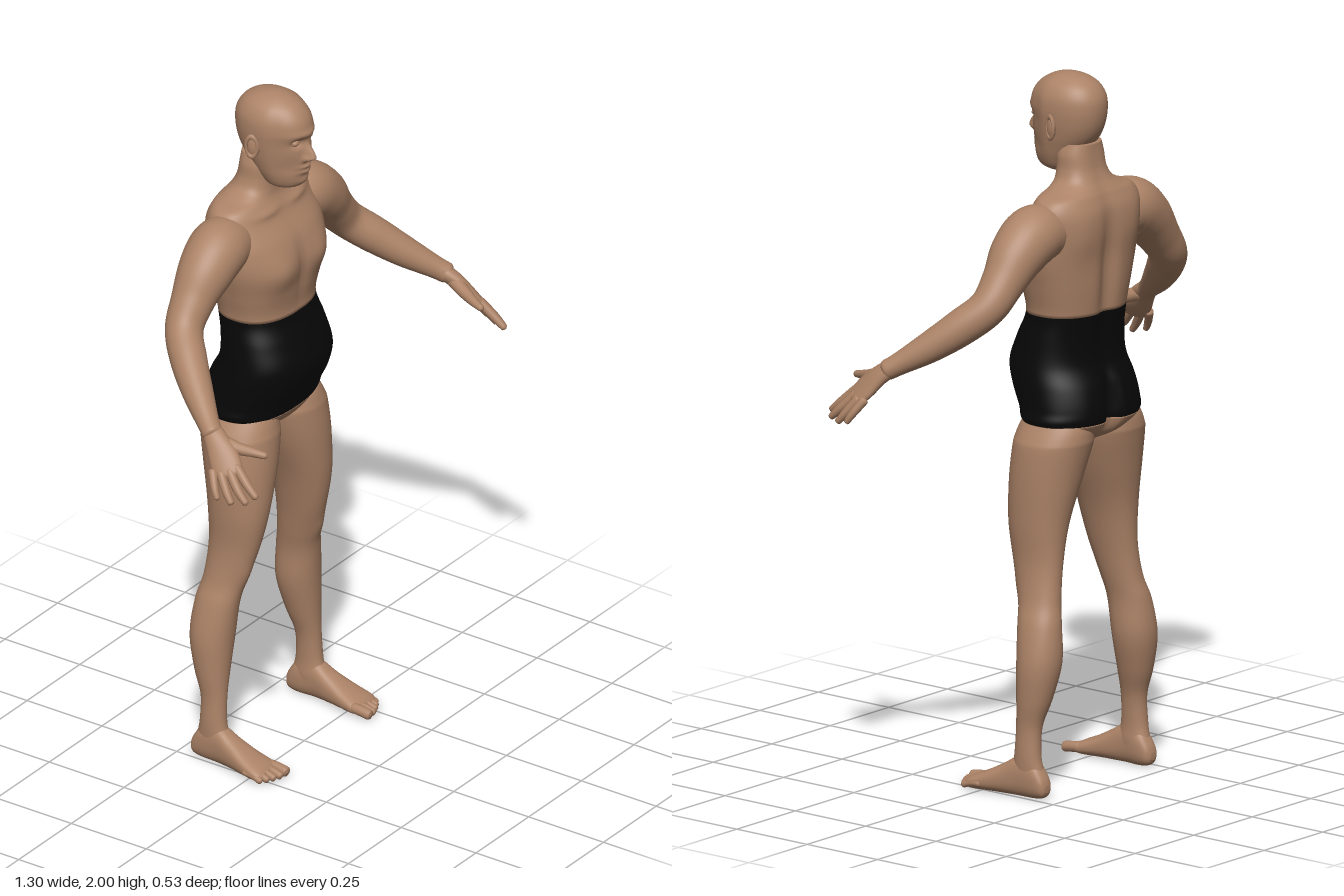
import * as THREE from 'three';

const V = (x, y, z) => new THREE.Vector3(x, y, z);
const bump = (d, s) => Math.exp(-((d / s) ** 2));

// Smoothly resample a list of numeric rows, k steps per span
function smooth(rows, k) {
  const out = [], n = rows.length;
  for (let i = 0; i < n - 1; i++) {
    const a = rows[Math.max(i - 1, 0)], b = rows[i], c = rows[i + 1], d = rows[Math.min(i + 2, n - 1)];
    for (let s = 0; s < k; s++) {
      const t = s / k;
      out.push(b.map((_, j) => 0.5 * (2 * b[j] + (c[j] - a[j]) * t
        + (2 * a[j] - 5 * b[j] + 4 * c[j] - d[j]) * t * t
        + (3 * b[j] - a[j] - 3 * c[j] + d[j]) * t * t * t)));
    }
  }
  out.push(rows[n - 1].slice());
  return out;
}

// Skin closed rings of points into one smooth surface, with optional end caps
function skinRings(rings, cap = true) {
  const n = rings[0].length, m = rings.length, pts = rings.flat(), idx = [];
  for (let i = 0; i < m - 1; i++) {
    for (let j = 0; j < n; j++) {
      const a = i * n + j, b = i * n + (j + 1) % n;
      idx.push(a, a + n, b, b, a + n, b + n);
    }
  }
  if (cap) {
    [0, m - 1].forEach((r) => {
      const c = pts.length;
      pts.push(rings[r].reduce((s, p) => s.add(p), V(0, 0, 0)).divideScalar(n));
      for (let j = 0; j < n; j++) {
        const a = r * n + j, b = r * n + (j + 1) % n;
        r === 0 ? idx.push(c, a, b) : idx.push(c, b, a);
      }
    });
  }
  const g = new THREE.BufferGeometry().setFromPoints(pts);
  g.setIndex(idx);
  g.computeVertexNormals();
  return g;
}

// Rings from rows [height, x0, x1, d0, d1]; place maps (x, height, depth) to a point
function sectionRings(rows, n, power, place, deform) {
  const se = (v) => Math.sign(v) * Math.abs(v) ** (2 / power);
  return rows.map(([h, x0, x1, d0, d1]) => Array.from({ length: n }, (_, j) => {
    const t = j / n * Math.PI * 2;
    const p = place((x0 + x1) / 2 + (x1 - x0) / 2 * se(Math.cos(t)), h,
      (d0 + d1) / 2 + (d1 - d0) / 2 * se(Math.sin(t)));
    if (deform) deform(p);
    return p;
  }));
}
const upright = (x, h, d) => V(x, h, d);

// Limb along rows [x, y, z, width radius, thickness radius] with rounded ends
function limb(path, side, n = 24, k = 8, round = 0.08) {
  const rows = smooth(path.map((r) => (r.length === 4 ? [...r, r[3]] : r)), k), m = rows.length - 1;
  const P = rows.map((r) => V(r[0], r[1], r[2]));
  return skinRings(rows.map((r, i) => {
    const t = P[Math.min(i + 1, m)].clone().sub(P[Math.max(i - 1, 0)]).normalize();
    const s = side.clone().addScaledVector(t, -side.dot(t)).normalize();
    const q = s.clone().cross(t);
    const e = Math.max(0, 1 - Math.min(i, m - i) / m / round);
    const f = Math.sqrt(Math.max(0.02, 1 - e * e));
    return Array.from({ length: n }, (_, j) => {
      const a = j / n * Math.PI * 2;
      return P[i].clone().addScaledVector(s, Math.cos(a) * r[3] * f).addScaledVector(q, Math.sin(a) * r[4] * f);
    });
  }));
}

function mirrored(geo) {
  const g = geo.clone().scale(-1, 1, 1), ix = g.index.array;
  for (let i = 0; i < ix.length; i += 3) [ix[i + 1], ix[i + 2]] = [ix[i + 2], ix[i + 1]];
  g.computeVertexNormals();
  return g;
}

// Muscle relief of the trunk
function trunkRelief(p) {
  const { x, y, z } = p, ax = Math.abs(x);
  if (z < -0.14) {
    p.z += 0.02 * bump(x, 0.03) * bump(y - 1.45, 0.2);
    p.z += 0.04 * bump(x, 0.022) * bump(y - 1.06, 0.1);
    p.z -= 0.008 * bump(ax - 0.1, 0.05) * bump(y - 1.07, 0.07);
    p.z -= 0.008 * bump(ax - 0.11, 0.05) * bump(y - 1.58, 0.08);
  } else {
    p.z += 0.016 * bump(ax - 0.09, 0.06) * bump(y - 1.49, 0.055);
    p.z -= 0.006 * bump(x, 0.018) * bump(y - 1.48, 0.1);
    p.z += 0.008 * bump(ax - 0.07, 0.05) * bump(y - 1.655, 0.012);
  }
}

// Brow, eye sockets, nose, lips and chin
function faceRelief(p) {
  const { x, y, z } = p, ax = Math.abs(x);
  const f = THREE.MathUtils.smoothstep(z, -0.08, -0.03);
  p.x *= 1 - 0.08 * f;
  p.z += f * (0.031 * bump(x, 0.013) * bump(y - 1.828, y < 1.828 ? 0.011 : 0.034)
    + 0.01 * bump(ax - 0.014, 0.008) * bump(y - 1.824, 0.009)
    - 0.014 * bump(ax - 0.033, 0.018) * bump(y - 1.876, 0.013)
    + 0.006 * bump(x, 0.06) * bump(y - 1.9, 0.011)
    + 0.009 * bump(x, 0.024) * (bump(y - 1.798, 0.006) + bump(y - 1.782, 0.006))
    + 0.007 * bump(x, 0.026) * bump(y - 1.75, 0.014)
    - 0.006 * bump(ax - 0.055, 0.02) * bump(y - 1.8, 0.03));
}

export function createModel() {
  const model = new THREE.Group();
  model.name = 'standingMan';
  const skin = new THREE.MeshStandardMaterial({ color: 0xac8367 });
  skin.name = 'skin';
  const cloth = new THREE.MeshStandardMaterial({ color: 0x070707, side: THREE.DoubleSide });
  cloth.name = 'blackCloth';
  const add = (name, geo, mat = skin) => {
    const mesh = new THREE.Mesh(geo, mat);
    mesh.name = name;
    model.add(mesh);
  };
  const pair = (name, geo) => {
    add('left' + name, geo);
    add('right' + name, mirrored(geo));
  };

  // Trunk: [y, half width, back, front], split at the edges of the shorts
  const K = 8;
  const trunk = smooth([
    [0.965, 0.02, -0.18, -0.1], [1.0, 0.12, -0.235, -0.05], [1.04, 0.188, -0.26, -0.022],
    [1.08, 0.188, -0.263, -0.005], [1.14, 0.183, -0.252, 0.025], [1.2, 0.176, -0.225, 0.036],
    [1.27, 0.166, -0.222, 0.012], [1.34, 0.156, -0.234, -0.015], [1.42, 0.173, -0.243, -0.008],
    [1.5, 0.193, -0.247, -0.003], [1.57, 0.198, -0.252, -0.018], [1.63, 0.193, -0.249, -0.055],
    [1.67, 0.172, -0.235, -0.075], [1.69, 0.122, -0.224, -0.083], [1.71, 0.088, -0.212, -0.085],
    [1.74, 0.074, -0.2, -0.085], [1.78, 0.07, -0.193, -0.085], [1.81, 0.06, -0.19, -0.09],
  ].map(([y, w, b, f]) => [y, -w, w, b, f]), K);
  const trunkRings = sectionRings(trunk, 96, 2.35, upright, trunkRelief);
  add('pelvis', skinRings(trunkRings.slice(0, 2 * K + 1)));
  add('shorts', skinRings(trunkRings.slice(2 * K, 7 * K + 1), false), cloth);
  add('chestAndNeck', skinRings(trunkRings.slice(7 * K)));

  // Head
  const head = smooth([
    [1.722, 0.03, -0.1, -0.035], [1.735, 0.05, -0.12, -0.01], [1.765, 0.064, -0.145, 0.003],
    [1.8, 0.073, -0.172, 0.008], [1.83, 0.079, -0.193, 0.01], [1.865, 0.084, -0.207, 0.01],
    [1.905, 0.087, -0.213, 0.016], [1.94, 0.083, -0.209, 0.008], [1.97, 0.067, -0.19, -0.016],
    [1.99, 0.041, -0.158, -0.05], [1.998, 0.018, -0.125, -0.08], [2.0, 0.003, -0.105, -0.1],
  ].map(([y, w, b, f]) => [y, -w, w, b, f]), 8);
  add('head', skinRings(sectionRings(head, 128, 2.15, upright, faceRelief)));
  pair('Eye', new THREE.SphereGeometry(0.012, 20, 14).scale(1.1, 0.75, 0.8).translate(0.032, 1.876, -0.007));
  pair('Ear', new THREE.SphereGeometry(0.02, 20, 16).scale(0.5, 1.6, 0.9).rotateY(-0.3).translate(0.087, 1.858, -0.108));
  pair('EarRim', new THREE.TorusGeometry(0.019, 0.005, 8, 24).scale(0.85, 1.6, 1).rotateY(Math.PI / 2 - 0.35).translate(0.094, 1.86, -0.11));

  // Arms
  pair('Arm', limb([
    [0.12, 1.575, -0.145, 0.07], [0.2, 1.584, -0.142, 0.083], [0.27, 1.542, -0.14, 0.077],
    [0.33, 1.478, -0.14, 0.061], [0.385, 1.415, -0.13, 0.053], [0.437, 1.36, -0.078, 0.051],
    [0.49, 1.303, -0.01, 0.043], [0.54, 1.253, 0.06, 0.031], [0.562, 1.23, 0.095, 0.029],
  ], V(1, 1, 0), 40, 8, 0.06));

  // Hands
  const across = V(0.037, -0.015, -0.07);
  pair('Palm', limb([[0.547, 1.246, 0.07, 0.027, 0.024], [0.563, 1.22, 0.105, 0.034, 0.022],
    [0.58, 1.18, 0.143, 0.043, 0.019], [0.6, 1.142, 0.174, 0.038, 0.013]], across, 28, 8, 0.12));
  const fingers = {
    Thumb: [[0.557, 1.225, 0.1, 0.02], [0.54, 1.206, 0.155, 0.018], [0.522, 1.197, 0.2, 0.013], [0.51, 1.191, 0.237, 0.009]],
    IndexFinger: [[0.573, 1.176, 0.172, 0.014], [0.585, 1.132, 0.22, 0.013], [0.59, 1.1, 0.258, 0.009]],
    MiddleFinger: [[0.588, 1.168, 0.16, 0.014], [0.607, 1.12, 0.205, 0.013], [0.613, 1.087, 0.24, 0.009]],
    RingFinger: [[0.601, 1.16, 0.142, 0.014], [0.622, 1.112, 0.178, 0.012], [0.63, 1.083, 0.202, 0.009]],
    LittleFinger: [[0.606, 1.16, 0.12, 0.013], [0.631, 1.118, 0.145, 0.011], [0.641, 1.09, 0.162, 0.008]],
  };
  for (const [name, path] of Object.entries(fingers)) pair(name, limb(path, across, 14, 8, 0.1));

  // Legs: [y, inner x, outer x, back z, front z]
  const leg = smooth([
    [0.03, 0.2, 0.252, -0.19, -0.1], [0.07, 0.196, 0.256, -0.193, -0.09], [0.12, 0.198, 0.258, -0.183, -0.102],
    [0.2, 0.191, 0.256, -0.182, -0.106], [0.28, 0.167, 0.263, -0.206, -0.105], [0.38, 0.142, 0.265, -0.225, -0.1],
    [0.48, 0.138, 0.246, -0.218, -0.09], [0.55, 0.126, 0.223, -0.204, -0.076], [0.65, 0.106, 0.211, -0.198, -0.045],
    [0.76, 0.078, 0.217, -0.205, -0.024], [0.88, 0.035, 0.22, -0.226, -0.019], [0.97, 0.008, 0.216, -0.244, -0.023],
    [1.0, 0.008, 0.207, -0.248, -0.027], [1.045, 0.02, 0.182, -0.24, -0.042], [1.1, 0.05, 0.15, -0.2, -0.08],
  ], 6);
  pair('Leg', skinRings(sectionRings(leg, 48, 2.1, upright, (p) => {
    if (p.z > -0.12) p.z += 0.006 * bump(p.x - 0.175, 0.025) * bump(p.y - 0.57, 0.035);
  })));

  // Feet: [z, inner x, outer x, sole y, top y]
  const foot = smooth([
    [-0.21, 0.215, 0.238, 0.022, 0.042], [-0.2, 0.202, 0.25, 0.007, 0.068], [-0.17, 0.196, 0.256, 0.001, 0.105],
    [-0.12, 0.197, 0.26, 0.001, 0.115], [-0.07, 0.192, 0.268, 0.001, 0.088], [-0.02, 0.186, 0.278, 0.001, 0.062],
    [0.02, 0.182, 0.283, 0.001, 0.045], [0.038, 0.184, 0.28, 0.004, 0.036], [0.048, 0.19, 0.27, 0.01, 0.028],
  ], 6);
  pair('Foot', skinRings(sectionRings(foot, 40, 2.4, (x, h, d) => V(x, d, h)).map((r) => r.reverse())));
  [[0.197, 0.085, 0.015], [0.22, 0.082, 0.011], [0.24, 0.074, 0.0105], [0.258, 0.064, 0.01], [0.274, 0.052, 0.0095]]
    .forEach(([x, tip, r], i) => pair('Toe' + (i + 1), limb([
      [x, 0.024, tip - 0.065, r], [x, 0.021, tip - 0.03, r], [x + 0.001, r + 0.001, tip, r],
    ], V(1, 0, 0), 14, 8, 0.16)));

  return model;
}
